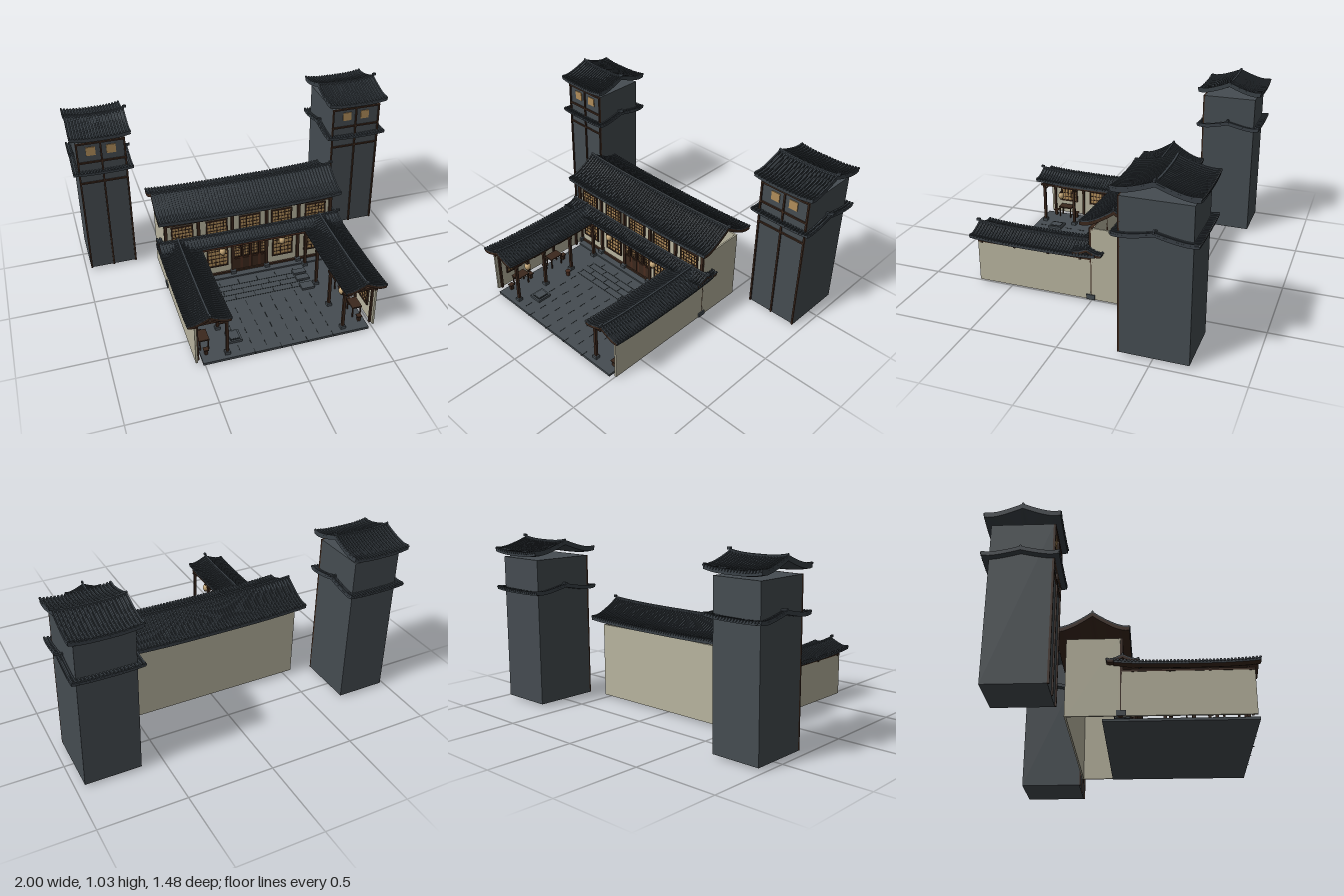
import * as THREE from 'three';
import { mergeGeometries } from 'three/addons/utils/BufferGeometryUtils.js';

const mat = (name, color) => Object.assign(new THREE.MeshStandardMaterial({ color }), { name });
const M = {
  slate: mat('slate wall', 0x454c51),
  tile: mat('roof tile', 0x394046),
  groove: mat('dark joint', 0x22272a),
  plaster: mat('cream plaster', 0xb8b49f),
  wood: mat('dark wood', 0x3b281d),
  door: mat('door wood', 0x4a2c1f),
  paper: mat('window paper', 0xb08d5a),
  lantern: mat('lantern cloth', 0xc4a676),
};

function add(parent, name, geometry, material) {
  const mesh = new THREE.Mesh(geometry, material);
  mesh.name = name;
  parent.add(mesh);
  return mesh;
}

// Box given by its width, height, depth and centre
const box = (w, h, d, x, y, z) => new THREE.BoxGeometry(w, h, d).translate(x, y, z);
const boxes = (parent, name, material, list) =>
  add(parent, name, mergeGeometries(list.map((b) => box(...b))), material);

// Box given by its minimum and maximum corners
const span = (x0, x1, y0, y1, z0, z1) =>
  [x1 - x0, y1 - y0, z1 - z0, (x0 + x1) / 2, (y0 + y1) / 2, (z0 + z1) / 2];

// Sweeping gable roof: ridge along x, hollow slopes, lifted ends
function roof(parent, name, o) {
  const { len, half, eave, rise, lift = 0.015, thick = 0.02, under = M.tile } = o;
  const bend = (g) => {
    const p = g.attributes.position;
    for (let i = 0; i < p.count; i++) {
      const t = Math.min(1, Math.abs(p.getZ(i)) / half);
      const u = Math.abs(p.getX(i)) / (len / 2);
      p.setY(i, p.getY(i) + eave + rise * Math.pow(1 - t, 1.45) + 0.012 * t ** 6 + lift * u ** 3);
    }
    g.computeVertexNormals();
    return g;
  };
  const group = new THREE.Group();
  group.name = name;
  const deck = new THREE.BoxGeometry(len, thick, half * 2, 20, 1, 20).translate(0, -thick / 2, 0);
  add(group, 'roofDeck', bend(deck), [under, under, M.tile, under, M.tile, M.tile]);

  // Tile rows, each with a round cap at both eaves
  const rows = Math.round(len / 0.019), ribs = [], gaps = [], caps = [];
  for (let i = 0; i <= rows; i++) {
    const x = -len / 2 + 0.005 + ((len - 0.01) * i) / rows;
    ribs.push(bend(new THREE.BoxGeometry(0.008, 0.01, half * 2, 1, 1, 12).translate(x, 0.004, 0)));
    if (i < rows) gaps.push(bend(
      new THREE.BoxGeometry(0.003, 0.002, half * 2, 1, 1, 12).translate(x + 0.0065, 0.001, 0)));
    for (const s of [-1, 1]) caps.push(bend(
      new THREE.CylinderGeometry(0.007, 0.007, 0.008, 8).rotateX(Math.PI / 2).translate(x, 0, s * half)));
  }
  add(group, 'tileRows', mergeGeometries(ribs), M.tile);
  add(group, 'tileGaps', mergeGeometries(gaps), M.groove);
  add(group, 'eaveCaps', mergeGeometries(caps), M.tile);

  // Ridge beam and its end knob
  add(group, 'ridge', bend(new THREE.BoxGeometry(len, 0.016, 0.012, 20, 1, 2).translate(0, 0.008, 0)), M.tile);
  boxes(group, 'ridgeKnob', M.tile, [[0.022, 0.014, 0.012, len / 2 + 0.003, eave + rise + lift + 0.015, 0]]);
  group.position.set(o.x, 0, o.z);
  group.rotation.y = o.turn || 0;
  parent.add(group);
}

// Lattice window facing +z, centred on its own origin
function latticeWindow(parent, name, w, h, nx, ny, x, y, z, turn = 0) {
  const g = new THREE.Group();
  g.name = name;
  const f = 0.008, bars = [];
  boxes(g, 'paper', M.paper, [[w, h, 0.004, 0, 0, 0]]);
  for (const s of [-1, 1]) {
    bars.push([f, h + f, 0.01, (s * w) / 2, 0, 0.003], [w + f, f, 0.01, 0, (s * h) / 2, 0.003]);
  }
  for (let i = 1; i < nx; i++) bars.push([0.0035, h, 0.004, -w / 2 + (w * i) / nx, 0, 0.003]);
  for (let i = 1; i < ny; i++) bars.push([w, 0.0035, 0.004, 0, -h / 2 + (h * i) / ny, 0.003]);
  boxes(g, 'lattice', M.wood, bars);
  g.position.set(x, y, z);
  g.rotation.y = turn;
  parent.add(g);
}

function tower(root, name, x0, x1, z0, top) {
  const g = new THREE.Group();
  g.name = name;
  const z1 = -0.325, c = (x0 + x1) / 2, w = x1 - x0, cz = (z0 + z1) / 2;
  boxes(g, 'towerBody', M.slate, [span(x0, x1, 0.015, top, z0, z1)]);
  const frame = [x0 + 0.005, c, x1 - 0.005].map((x) => [0.01, top - 0.015, 0.012, x, (top + 0.015) / 2, z1 + 0.003]);
  for (const d of [0.006, 0.132, 0.205, 0.27]) frame.push([w, 0.01, 0.012, c, top - d, z1 + 0.003]);
  boxes(g, 'towerFrame', M.wood, frame);
  boxes(g, 'towerWindows', M.paper, [-1, 1].map((s) => [0.055, 0.055, 0.006, c + s * 0.06, top - 0.06, z1 + 0.002]));
  const len = w + 0.065, half = (z1 - z0) / 2 + 0.035;
  roof(g, 'towerTopRoof', { len, half, x: c, z: cz, eave: top + 0.025, rise: 0.06 });
  roof(g, 'towerSkirtRoof', { len, half, x: c, z: cz, eave: top - 0.203, rise: 0.036, lift: 0.008, thick: 0.014 });
  root.add(g);
}

function mainHall(root) {
  const g = new THREE.Group();
  g.name = 'mainHall';
  const L = -0.55, R = 0.515, c = (L + R) / 2, w = R - L;
  boxes(g, 'hallWalls', M.plaster, [
    span(L, R, 0.015, 0.46, -0.295, -0.285),
    span(L, L + 0.01, 0.015, 0.46, -0.285, -0.02), span(R - 0.01, R, 0.015, 0.46, -0.285, -0.02),
    span(L, -0.13, 0.015, 0.46, -0.02, -0.006), span(0.1, R, 0.015, 0.46, -0.02, -0.006),
    span(-0.13, 0.1, 0.25, 0.46, -0.02, -0.006),
  ]);
  // Timber frame of the front
  const posts = [-0.54, -0.34, -0.13, 0.09, 0.297, 0.505];
  boxes(g, 'frontFrame', M.wood, [
    ...posts.map((x) => [0.018, 0.445, 0.028, x, 0.2375, -0.006]),
    ...[0.455, 0.33, 0.255].map((y) => [w, 0.014, 0.022, c, y, -0.006]),
    [w, 0.022, 0.02, c, 0.026, -0.004],
  ]);
  boxes(g, 'postBases', M.slate, posts.map((x) => [0.032, 0.03, 0.05, x, 0.03, 0]));
  boxes(g, 'hallStep', M.slate, [[w - 0.06, 0.012, 0.08, c, 0.019, 0.005]]);

  // Upper and lower windows
  [-0.44, -0.227, -0.02, 0.185, 0.405].forEach((x, i) => {
    latticeWindow(g, 'upperWindow', 0.125, 0.095, 6, 4, x, 0.388, 0);
    if (i !== 2) latticeWindow(g, 'lowerWindow', 0.125, 0.14, 5, 5, x + (i === 3 ? 0.01 : 0), 0.165, 0);
  });
  // Four-leaf door with latticed upper halves
  boxes(g, 'door', M.door, [span(-0.13, 0.1, 0.015, 0.25, -0.018, -0.003)]);
  for (let i = 0; i < 4; i++) {
    const x = -0.102 + i * 0.058;
    latticeWindow(g, 'doorLattice', 0.042, 0.09, 3, 4, x, 0.185, 0);
    boxes(g, 'doorPanel', M.wood, [[0.04, 0.08, 0.004, x, 0.08, -0.001]]);
  }
  roof(g, 'hallRoof', { len: 1.14, half: 0.2, x: -0.015, z: -0.155, eave: 0.485, rise: 0.1, under: M.wood });
  roof(g, 'porchRoof', { len: 1.14, half: 0.085, x: -0.015, z: 0.008, eave: 0.303, rise: 0.032,
    lift: 0.008, thick: 0.014, under: M.wood });
  boxes(g, 'porchBeam', M.door, [[w, 0.014, 0.012, c, 0.275, 0.06]]);
  root.add(g);
}

function lantern(parent, x, y, z) {
  add(parent, 'lantern', new THREE.SphereGeometry(0.02, 14, 10).scale(1, 1.2, 1).translate(x, y, z), M.lantern);
  boxes(parent, 'lanternFittings', M.wood, [
    [0.016, 0.006, 0.016, x, y + 0.024, z], [0.016, 0.006, 0.016, x, y - 0.024, z], [0.003, 0.04, 0.003, x, y + 0.04, z]]);
}

// Side gallery; s is +1 for the left wing and -1 for the right wing
function wing(root, s) {
  const g = new THREE.Group();
  g.name = s > 0 ? 'leftWing' : 'rightWing';
  const X = (d) => -0.0175 + s * d; // distance from the courtyard axis
  boxes(g, 'wingWall', M.plaster, [[0.012, 0.25, 0.70, X(0.526), 0.14, 0.35]]);
  const zs = [0.675, 0.465, 0.255, 0.06], frame = [], bases = [];
  for (const z of zs) {
    frame.push([0.016, 0.26, 0.016, X(0.345), 0.145, z], [0.014, 0.25, 0.014, X(0.515), 0.14, z],
      [0.21, 0.014, 0.012, X(0.435), 0.268, z], [0.012, 0.05, 0.012, X(0.45), 0.295, z],
      [0.04, 0.008, 0.008, X(0.37), 0.245, z]);
    bases.push([0.03, 0.02, 0.03, X(0.345), 0.024, z]);
  }
  frame.push([0.014, 0.012, 0.70, X(0.345), 0.278, 0.35], [0.016, 0.012, 0.70, X(0.526), 0.27, 0.35]);
  boxes(g, 'wingFrame', M.wood, frame);
  boxes(g, 'wingPostBases', M.slate, bases);
  for (const z of [0.57, 0.36, 0.16])
    latticeWindow(g, 'wingWindow', 0.11, 0.11, 5, 4, X(0.518), 0.16, z, -s * Math.PI / 2);
  roof(g, 'wingRoof', { len: 0.77, half: 0.122, x: X(0.452), z: 0.345, eave: 0.29, rise: 0.045,
    lift: 0.014, thick: 0.016, under: M.wood, turn: -Math.PI / 2 });
  lantern(g, X(0.375), 0.2, 0.57);
  // Table with two stools
  for (const z of [0.57, 0.3]) {
    const t = [[0.06, 0.008, 0.09, X(0.46), 0.085, z]];
    for (const a of [-1, 1]) {
      for (const b of [-1, 1]) t.push([0.007, 0.07, 0.007, X(0.46) + a * 0.024, 0.05, z + b * 0.038]);
      t.push([0.03, 0.006, 0.03, X(0.46), 0.05, z + a * 0.075], [0.018, 0.035, 0.018, X(0.46), 0.032, z + a * 0.075]);
    }
    boxes(g, 'tableAndStools', M.wood, t);
  }
  root.add(g);
}

function courtyard(root) {
  const g = new THREE.Group();
  g.name = 'courtyard';
  boxes(g, 'pavingSlab', M.slate, [span(-0.51, 0.475, 0, 0.015, -0.1, 0.715)]);
  // Paving joints: long courses near the hall, staggered stones beyond
  const joints = [];
  [0.115, 0.16, 0.205, 0.25].forEach((z, i) => {
    joints.push([0.58, 0.002, 0.004, -0.02, 0.0155, z]);
    for (let k = 0; k < 5; k++) joints.push([0.004, 0.002, 0.045, -0.24 + k * 0.12 - (i % 2) * 0.06, 0.0155, z - 0.022]);
  });
  for (let i = 0; i < 8; i++)
    for (let k = 0; k < 5; k++)
      joints.push([0.004, 0.002, 0.045, -0.29 + i * 0.078, 0.0155, 0.3 + k * 0.09 + (i % 2) * 0.045]);
  boxes(g, 'pavingJoints', M.groove, joints);
  boxes(g, 'stoneBlocks', M.slate, [
    [0.08, 0.014, 0.04, 0.265, 0.022, 0.12], [0.08, 0.014, 0.045, 0.265, 0.022, 0.18], [0.08, 0.014, 0.06, 0.265, 0.022, 0.265]]);
  // Stone basin
  boxes(g, 'basinBase', M.slate, [[0.08, 0.015, 0.09, -0.295, 0.0225, 0.565]]);
  boxes(g, 'basinRim', M.groove, [[0.06, 0.004, 0.07, -0.295, 0.031, 0.565]]);
  boxes(g, 'basinTop', M.slate, [[0.05, 0.008, 0.06, -0.295, 0.031, 0.565]]);
  add(g, 'jar', new THREE.CylinderGeometry(0.016, 0.011, 0.035, 12).translate(-0.33, 0.033, 0.31), M.door);
  lantern(g, -0.21, 0.245, 0.06);
  lantern(g, 0.17, 0.245, 0.06);
  root.add(g);
}

export function createModel() {
  const root = new THREE.Group();
  root.name = 'courtyardHouse';
  courtyard(root);
  mainHall(root);
  wing(root, 1);
  wing(root, -1);
  tower(root, 'rightTower', -0.97, -0.68, -0.65, 0.91);
  tower(root, 'leftTower', 0.63, 0.95, -0.695, 0.88);
  return root;
}
